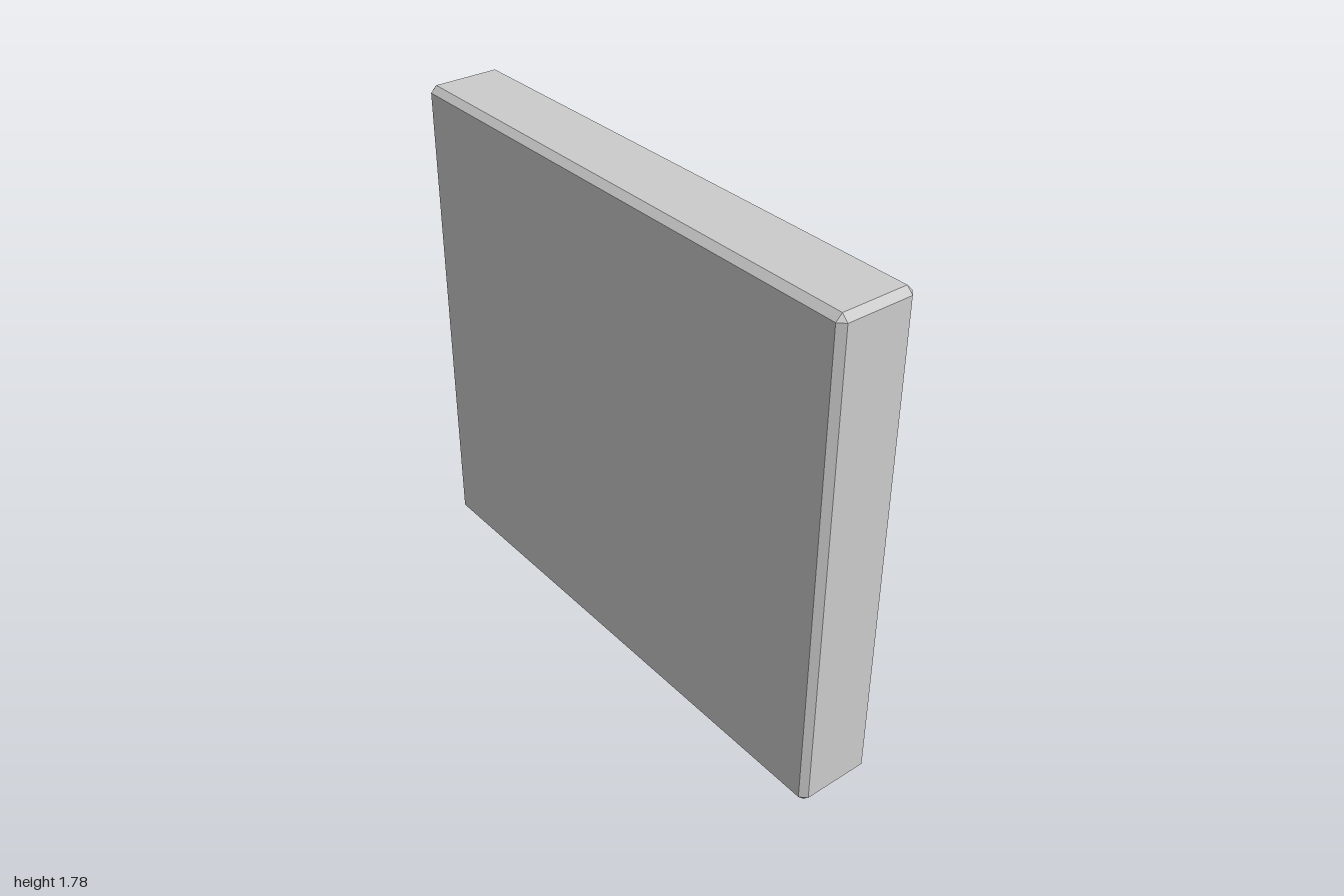
import * as THREE from 'three';

const grey = new THREE.MeshStandardMaterial({ color: 0xcccccc, flatShading: true });
const doorTint = new THREE.MeshStandardMaterial({ color: 0xc6b9b0, flatShading: true });
const thin = new THREE.MeshStandardMaterial({ color: 0xcccccc, flatShading: true, side: THREE.DoubleSide });

// Wall extents, chamfer and door opening
const W = 1, H = 1.78, BACK = -0.12, FRONT = 0.16, C = 0.022;
const OPEN = { x0: -0.51, x1: 0.125, y0: C, y1: 1.36, z: -0.01 };

function add(group, name, geometry, material = grey) {
  const mesh = new THREE.Mesh(geometry, material);
  mesh.name = name;
  group.add(mesh);
  return mesh;
}

// Box given by its minimum and maximum on each axis
function box(x0, x1, y0, y1, z0, z1) {
  return new THREE.BoxGeometry(x1 - x0, y1 - y0, z1 - z0)
    .translate((x0 + x1) / 2, (y0 + y1) / 2, (z0 + z1) / 2);
}

// Skin between closed rings of points, ordered counterclockwise and from low z to high z
function loft(rings) {
  const pos = [];
  const tri = (a, b, c) => {
    const area = b.clone().sub(a).cross(c.clone().sub(a)).length();
    if (area > 1e-9) for (const p of [a, b, c]) pos.push(p.x, p.y, p.z);
  };
  for (let r = 0; r < rings.length - 1; r++) {
    const lo = rings[r], hi = rings[r + 1], n = lo.length;
    for (let i = 0; i < n; i++) {
      const j = (i + 1) % n;
      tri(lo[i], lo[j], hi[j]);
      tri(lo[i], hi[j], hi[i]);
    }
  }
  const g = new THREE.BufferGeometry();
  g.setAttribute('position', new THREE.Float32BufferAttribute(pos, 3));
  g.computeVertexNormals();
  return g;
}

// Wall cross-section: cut corners at full size, plain rectangle where inset
function wallRing(z, inset) {
  const pts = [];
  const v = (x, y) => pts.push(new THREE.Vector3(x, y, z));
  const a = W - C, ax = W - inset, b = C, bx = inset;
  v(a, bx); v(ax, b);
  v(ax, H - b); v(a, H - bx);
  v(-a, H - bx); v(-ax, H - b);
  v(-ax, b); v(-a, bx);
  return pts;
}

export function createModel() {
  const model = new THREE.Group();
  model.name = 'wallWithDoor';

  // Chamfered wall edges
  add(model, 'wallEdges', loft([
    wallRing(BACK, C), wallRing(BACK + C, 0), wallRing(FRONT - C, 0), wallRing(FRONT, C),
  ]));

  // Plain front face
  add(model, 'wallFront', new THREE.PlaneGeometry(2 * (W - C), H - 2 * C).translate(0, H / 2, FRONT));

  // Back face notched for the doorway, drawn mirrored and then turned round
  const e = W - C;
  const outline = new THREE.Shape([
    [-e, C], [-OPEN.x1, C], [-OPEN.x1, OPEN.y1], [-OPEN.x0, OPEN.y1],
    [-OPEN.x0, C], [e, C], [e, H - C], [-e, H - C],
  ].map(([x, y]) => new THREE.Vector2(x, y)));
  add(model, 'wallBack', new THREE.ShapeGeometry(outline).rotateY(Math.PI).translate(0, 0, BACK));

  // Jambs, soffit and sill of the recess
  const recessRing = (z) => [
    [OPEN.x0, OPEN.y0], [OPEN.x0, OPEN.y1], [OPEN.x1, OPEN.y1], [OPEN.x1, OPEN.y0],
  ].map(([x, y]) => new THREE.Vector3(x, y, z));
  add(model, 'doorRecess', loft([recessRing(BACK), recessRing(OPEN.z)]), thin);

  // Lintel above the doorway
  add(model, 'lintel', box(-0.61, 0.23, 1.36, 1.52, -0.16, BACK));

  // Door leaf with three battens and a handle
  const door = new THREE.Group();
  door.name = 'door';
  model.add(door);
  add(door, 'doorLeaf', box(OPEN.x0, OPEN.x1, OPEN.y0, OPEN.y1, OPEN.z, OPEN.z + 0.04), doorTint);
  for (const y of [0.2, 0.68, 1.16]) {
    add(door, 'doorBatten', box(-0.485, 0.1, y - 0.017, y + 0.017, OPEN.z - 0.02, OPEN.z));
  }
  add(door, 'doorHandle', box(0, 0.035, 0.6, 0.69, OPEN.z - 0.045, OPEN.z));

  return model;
}
